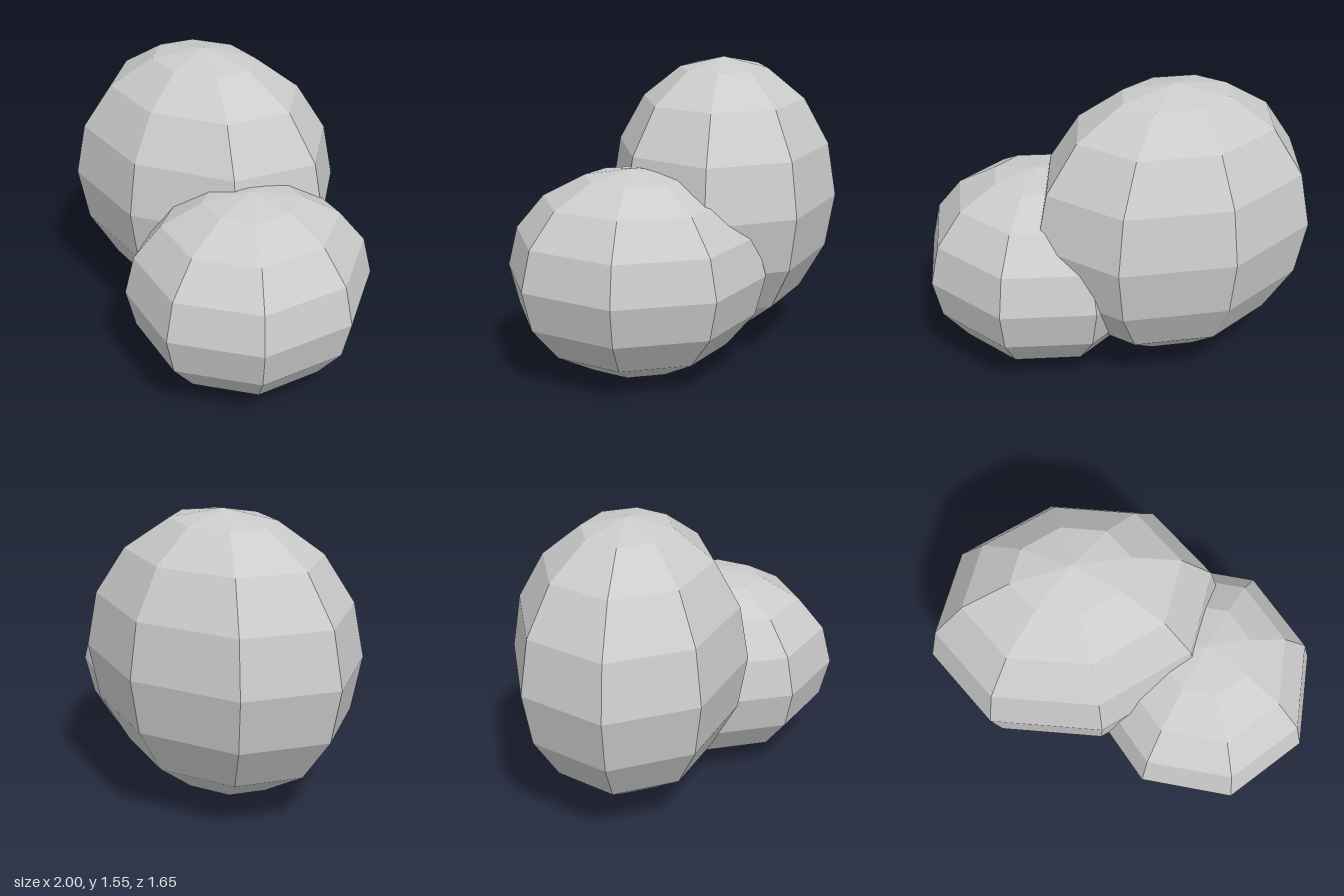
import * as THREE from 'three';

export function createModel() {
  const group = new THREE.Group();
  const material = new THREE.MeshStandardMaterial({ color: 0xcccccc, flatShading: true });
  const ball = new THREE.SphereGeometry(1, 8, 8);

  // A faceted ball stretched to the given radii
  const addLobe = (name, center, radii) => {
    const mesh = new THREE.Mesh(ball.clone().scale(...radii), material);
    mesh.name = name;
    mesh.position.set(...center);
    group.add(mesh);
  };

  // Tall lobe at the back, lower lobe in front of it
  addLobe('largeLobe', [-0.218, 0.815, -0.214], [0.782, 0.735, 0.612]);
  addLobe('smallLobe', [0.38, 0.53, 0.162], [0.62, 0.53, 0.664]);

  return group;
}
